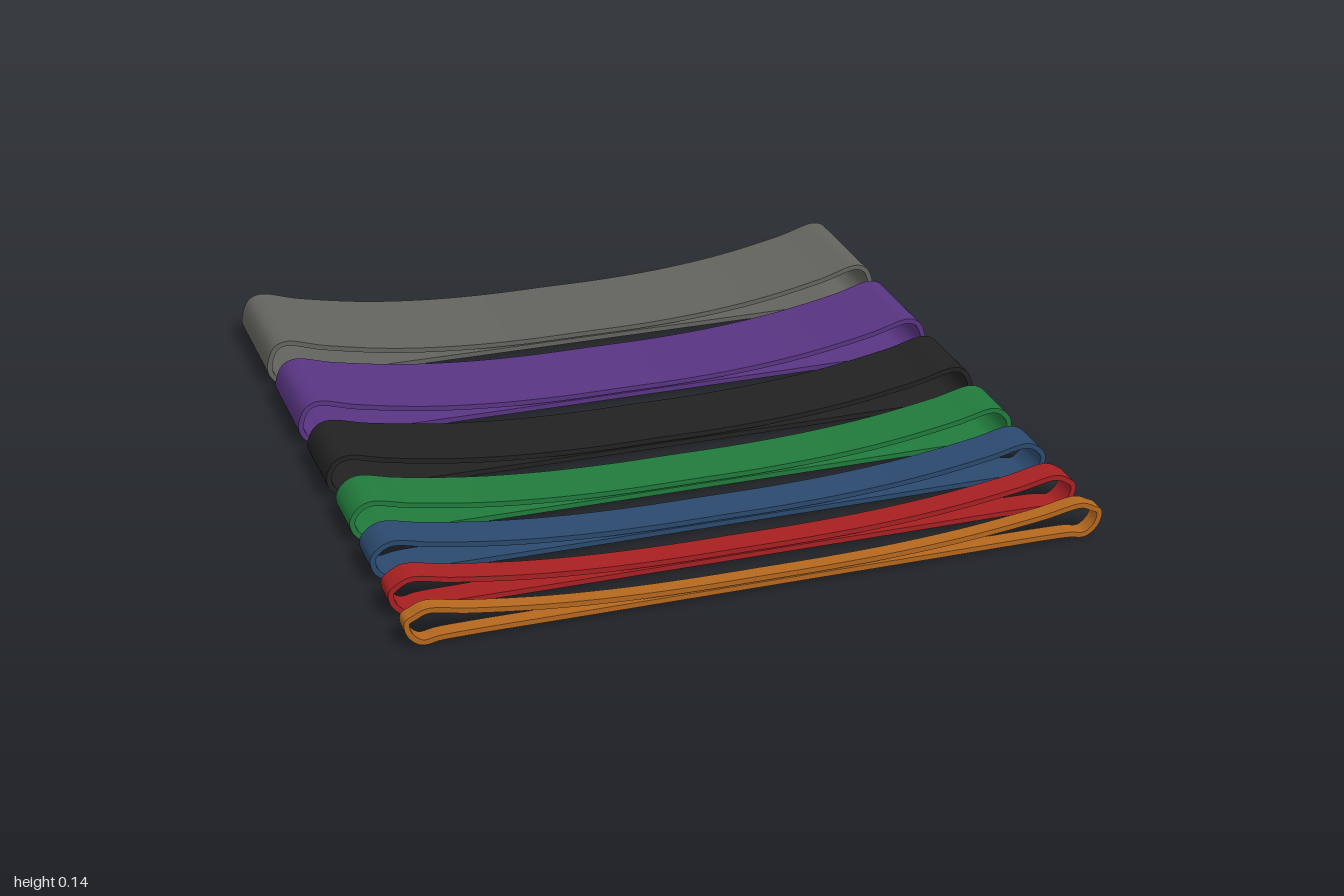
import * as THREE from 'three';

const HALF = 0.0075; // half the rubber thickness

// Closed centre line of a flattened loop; h is the height of its raised ends
function centreLine(h) {
  const rise = h - 0.041;
  const right = [
    [0.5, 0.0155], [0.8, 0.0155], [0.88, 0.0135], [0.925, 0.008], [0.952, 0.027],
    [0.964, 0.05], [0.964, 0.072], [0.945, h - 0.022], [0.912, h - HALF - 0.001],
    [0.8, 0.034 + rise * 0.7], [0.6, 0.034 + rise * 0.32],
    [0.4, 0.034 + rise * 0.1], [0.2, 0.0345],
  ];
  const left = right.map(([x, y]) => [-x, y]).reverse();
  const loop = [[0, 0.0155], ...right, [0, 0.034], ...left];
  const points = loop.map(([x, y]) => new THREE.Vector3(x, y, 0));
  return new THREE.CatmullRomCurve3(points, true, 'centripetal');
}

// Rectangular strip swept round the loop, with hard edges between its four sides
function bandGeometry(h, z0, z1) {
  const curve = centreLine(h);
  const n = 280;
  const pos = [];
  const index = [];
  for (let i = 0; i < n; i++) {
    const p = curve.getPoint(i / n);
    const t = curve.getTangent(i / n);
    const nx = t.y * HALF;
    const ny = -t.x * HALF;
    const out = [p.x + nx, Math.max(0, p.y + ny)];
    const inn = [p.x - nx, p.y - ny];
    // corners: outer front, outer back, inner back, inner front
    const c = [[...out, z1], [...out, z0], [...inn, z0], [...inn, z1]];
    for (let k = 0; k < 4; k++) pos.push(...c[k], ...c[(k + 1) % 4]);
    const a = i * 8;
    const b = ((i + 1) % n) * 8;
    for (let k = 0; k < 8; k += 2) {
      index.push(a + k, a + k + 1, b + k, b + k, a + k + 1, b + k + 1);
    }
  }
  const g = new THREE.BufferGeometry();
  g.setAttribute('position', new THREE.Float32BufferAttribute(pos, 3));
  g.setIndex(index);
  g.computeVertexNormals();
  return g;
}

export function createModel() {
  const group = new THREE.Group();
  group.name = 'resistanceBands';
  // colour name, colour, end height, back z, front z
  const bands = [
    ['orange', 0xb5681e, 0.105, 0.954, 1.0],
    ['red', 0xa82022, 0.111, 0.76, 0.838],
    ['blue', 0x2b496e, 0.117, 0.525, 0.644],
    ['green', 0x217b3c, 0.122, 0.254, 0.416],
    ['black', 0x222222, 0.129, -0.095, 0.14],
    ['purple', 0x593583, 0.136, -0.516, -0.21],
    ['grey', 0x63645e, 0.143, -1.0, -0.63],
  ];
  for (const [name, color, h, z0, z1] of bands) {
    const material = new THREE.MeshStandardMaterial({ color });
    material.name = name + 'Rubber';
    const mesh = new THREE.Mesh(bandGeometry(h, z0, z1), material);
    mesh.name = name + 'Band';
    group.add(mesh);
  }
  return group;
}
